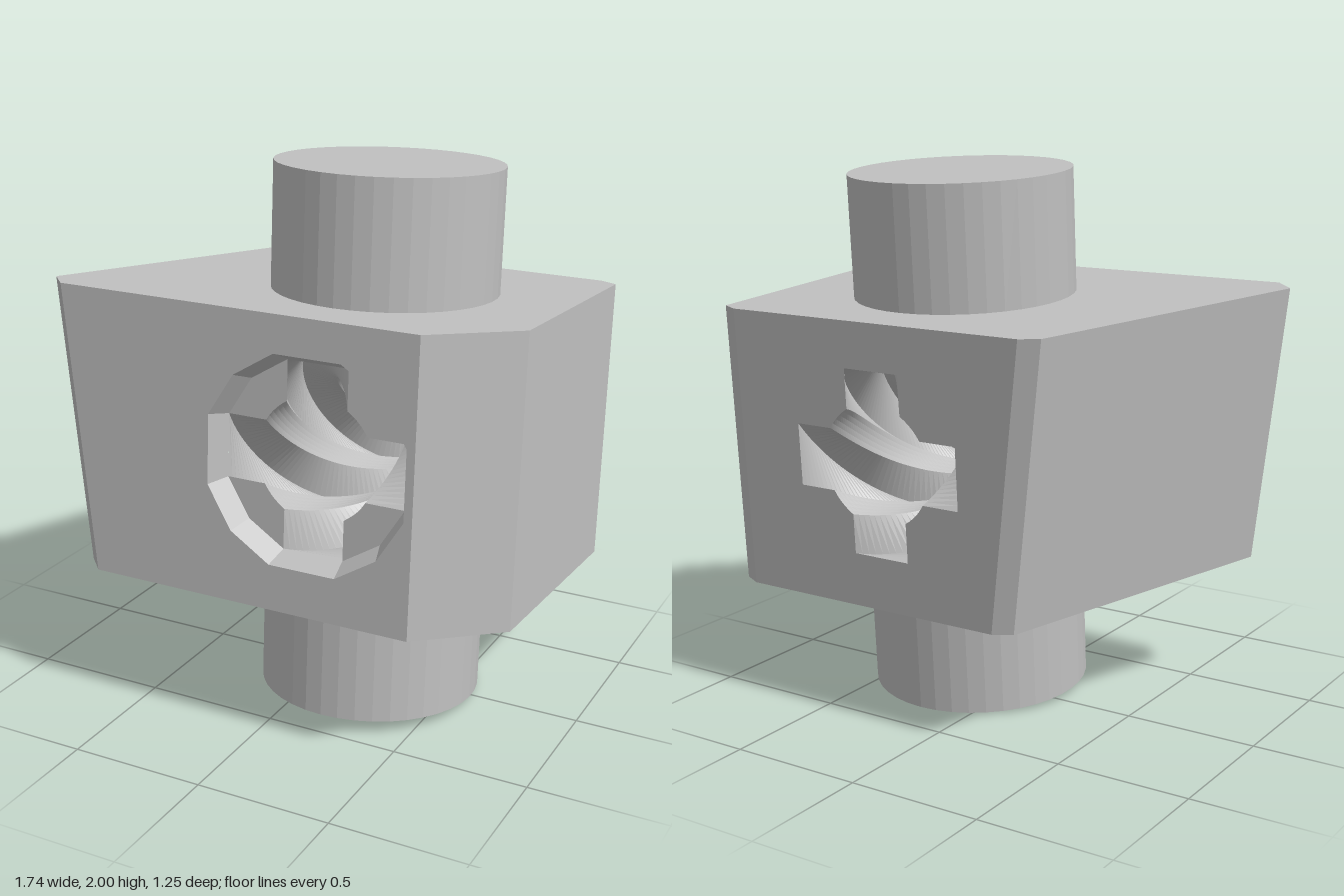
import * as THREE from 'three';

const CX = 0.195, CY = 0.015;            // bore centre
const H = 0.525, FRONT = 0.594, BACK = -0.588, FLOOR = 0.51;

// Skin a list of closed loops with flat quads; optional edges are left open
function loft(loops, skip = []) {
  const pos = [];
  for (let k = 0; k + 1 < loops.length; k++) {
    const a = loops[k], b = loops[k + 1], n = a.length;
    for (let i = 0; i < n; i++) {
      if (skip.includes(i)) continue;
      const j = (i + 1) % n;
      for (const p of [a[i], a[j], b[j], a[i], b[j], b[i]]) pos.push(...p);
    }
  }
  return fromPositions(pos);
}

function fromPositions(pos) {
  const g = new THREE.BufferGeometry();
  g.setAttribute('position', new THREE.Float32BufferAttribute(pos, 3));
  g.computeVertexNormals();
  return g;
}

// Flat cap over a convex loop
function fan(loop) {
  const pos = [];
  for (let i = 1; i + 1 < loop.length; i++) pos.push(...loop[0], ...loop[i], ...loop[i + 1]);
  return fromPositions(pos);
}

const polar = (r, a) => [r * Math.cos(a), r * Math.sin(a)];

// Round bore with four keyway arms
function crossProfile() {
  const pts = [], w = 0.115, bore = 0.225, tip = 0.34;
  const a0 = Math.asin(w / bore), steps = 5;
  for (let q = 0; q < 4; q++) {
    const t = q * Math.PI / 2, c = Math.cos(t), s = Math.sin(t);
    const quarter = [[tip, -w], [tip, w]];
    for (let i = 0; i <= steps; i++) {
      quarter.push(polar(bore, a0 + (Math.PI / 2 - 2 * a0) * i / steps));
    }
    for (const [x, y] of quarter) pts.push([x * c - y * s, x * s + y * c]);
  }
  return pts;
}

// Twelve-sided recess rim whose flats line up with the arms
function rim(r) {
  const pts = [], d = Math.atan2(0.115, 0.34);
  for (let q = 0; q < 4; q++) {
    const t = q * Math.PI / 2;
    pts.push(polar(r, t - d), polar(r, t + d), polar(r, t + Math.PI / 4));
  }
  return pts;
}

const at = (pts, z) => pts.map(([x, y]) => [x + CX, y + CY, z]);
const vec = (pts, cx = CX) => pts.map(([x, y]) => new THREE.Vector2(x + cx, y + CY));

export function createModel() {
  const grey = new THREE.MeshStandardMaterial({ color: 0xc0c0c0, flatShading: true });
  grey.name = 'grey';
  const model = new THREE.Group();
  model.name = 'boredBlock';
  const body = new THREE.Group();
  body.name = 'tiltedBody';
  body.position.y = 1;
  body.rotation.x = THREE.MathUtils.degToRad(-3.7);
  model.add(body);

  function add(name, geometry) {
    const m = new THREE.Mesh(geometry, grey);
    m.name = name;
    body.add(m);
    return m;
  }

  // Block outline in plan; the left side leans inward toward the bottom
  const plan = [
    [-0.79, FRONT], [0.6, FRONT], [0.867, 0.335], [0.867, -0.555],
    [0.8, BACK], [-0.41, BACK], [-0.48, -0.555], [-0.87, 0.51],
  ];
  const top = plan.map(([x, z]) => [x, H, z]);
  const bottom = plan.map(([x, z]) => [x < 0 ? x + 0.148 : x, -H, z]);
  add('blockSides', loft([bottom, top], [0, 4]));
  add('blockTop', fan(top));
  add('blockBottom', fan([...bottom].reverse()));

  const cross = crossProfile(), outer = rim(0.395), inner = rim(0.359);

  // Front face, open at the recess
  const front = new THREE.Shape([bottom[0], bottom[1], top[1], top[0]]
    .map(([x, y]) => new THREE.Vector2(x, y)));
  front.holes.push(new THREE.Path(vec(outer)));
  add('frontFace', new THREE.ShapeGeometry(front)).position.z = FRONT;

  // Back face, open at the keyed bore
  const back = new THREE.Shape([bottom[5], bottom[4], top[4], top[5]]
    .map(([x, y]) => new THREE.Vector2(-x, y)));
  back.holes.push(new THREE.Path(vec(cross, -CX)));
  const backFace = add('backFace', new THREE.ShapeGeometry(back).rotateY(Math.PI));
  backFace.position.z = BACK;

  // Recess wall and the four floor corners between the arms
  add('recessWall', loft([at(outer, FRONT), at(inner, FLOOR)]));
  const per = cross.length / 4;
  for (let q = 0; q < 4; q++) {
    const arc = cross.slice(q * per + 2, (q + 1) * per).reverse();
    const corner = [inner[q * 3 + 1], inner[q * 3 + 2], inner[(q * 3 + 3) % 12], ...arc];
    add('recessFloor', new THREE.ShapeGeometry(new THREE.Shape(vec(corner)))).position.z = FLOOR;
  }

  // Keyed bore, twisting half a turn from front to back
  const sections = [], N = 64;
  for (let k = 0; k <= N; k++) {
    const a = Math.PI * k / N, c = Math.cos(a), s = Math.sin(a);
    const turned = cross.map(([x, y]) => [x * c - y * s, x * s + y * c]);
    sections.push(at(turned, THREE.MathUtils.lerp(FLOOR, BACK, k / N)));
  }
  add('twistedBore', loft(sections));

  // Round shafts above and below
  for (const [name, side] of [['upperShaft', 1], ['lowerShaft', -1]]) {
    const len = 0.975 - H + 0.02;
    const shaft = add(name, new THREE.CylinderGeometry(0.409, 0.409, len, 40));
    shaft.position.set(0.193, side * (0.975 - len / 2), 0);
  }
  return model;
}
